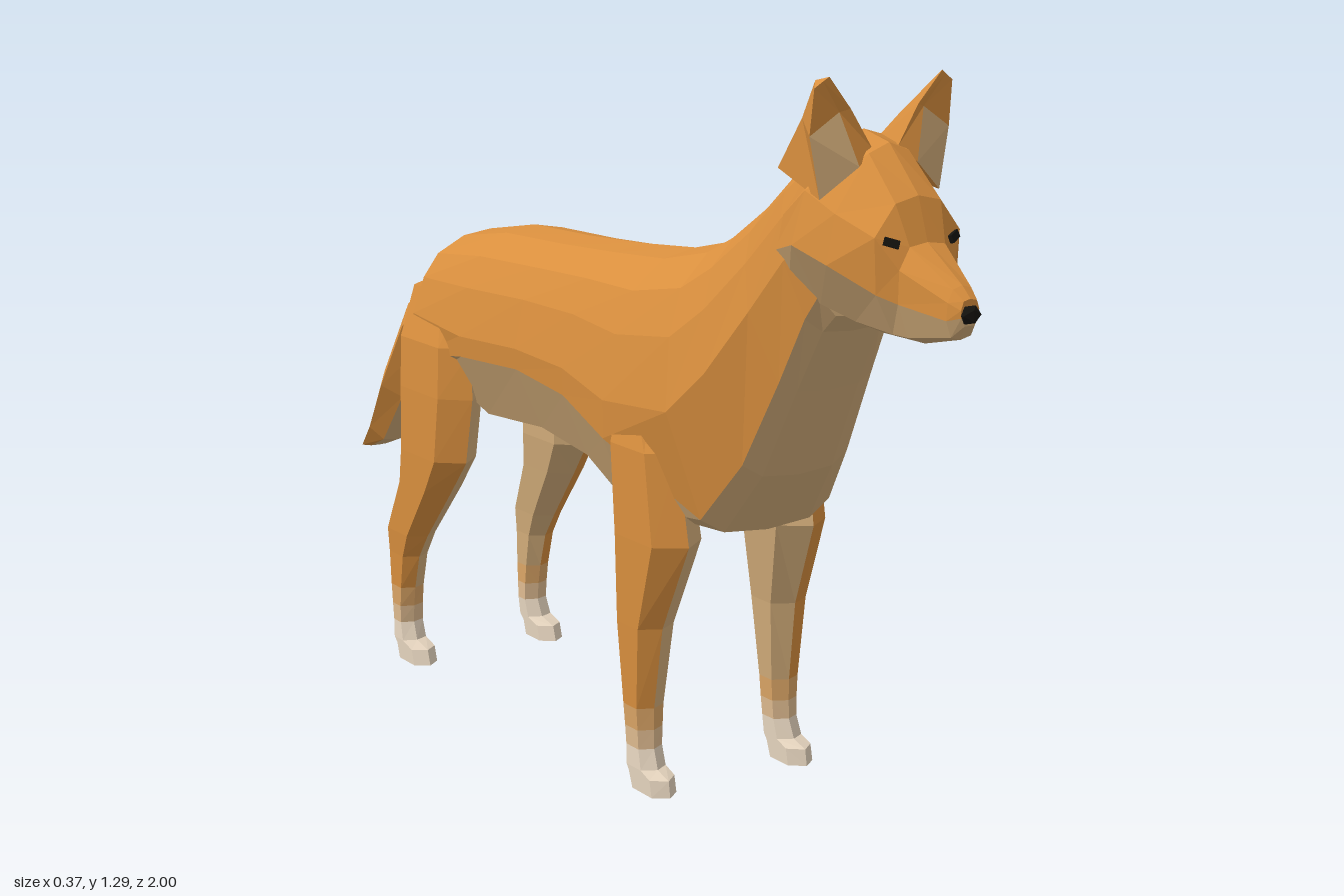
import * as THREE from 'three';

const mat = (name, color) => Object.assign(new THREE.MeshStandardMaterial({ color }), { name });

// Flat-faced skin through rings of points; pick(ring, column) gives a material index.
// The caps are asked for as ring -1 and ring "last".
function loft(name, rings, mats, pick) {
  const n = rings[0].length, last = rings.length - 1;
  const buckets = mats.map(() => []);
  const add = (m, a, b, c) => buckets[m].push([a, b, c]);
  for (let i = 0; i < last; i++) {
    for (let j = 0; j < n; j++) {
      const k = (j + 1) % n, m = pick(i, j);
      add(m, rings[i][j], rings[i][k], rings[i + 1][k]);
      add(m, rings[i][j], rings[i + 1][k], rings[i + 1][j]);
    }
  }
  for (const [ring, id, flip] of [[rings[0], -1, true], [rings[last], last, false]]) {
    const mid = [0, 1, 2].map(c => ring.reduce((s, p) => s + p[c], 0) / n);
    for (let j = 0; j < n; j++) {
      const a = ring[j], b = ring[(j + 1) % n];
      if (flip) add(pick(id, j), mid, b, a); else add(pick(id, j), mid, a, b);
    }
  }
  // Turn the skin outwards if its signed volume is negative
  const V = p => new THREE.Vector3(...p);
  const volume = buckets.flat().reduce((s, [a, b, c]) => s + V(a).dot(V(b).cross(V(c))), 0);
  const geo = new THREE.BufferGeometry(), pos = [];
  buckets.forEach((tris, m) => {
    const start = pos.length / 3;
    for (const [a, b, c] of tris) pos.push(...a, ...(volume < 0 ? c : b), ...(volume < 0 ? b : c));
    if (tris.length) geo.addGroup(start, tris.length * 3, m);
  });
  geo.setAttribute('position', new THREE.Float32BufferAttribute(pos, 3));
  geo.computeVertexNormals();
  const mesh = new THREE.Mesh(geo, mats);
  mesh.name = name;
  return mesh;
}

// Closes a half section (first and last points on x = 0) into a full ring
const mirrorRing = half => [...half, ...half.slice(1, -1).reverse().map(([x, y, z]) => [-x, y, z])];

export function createModel() {
  const fox = new THREE.Group();
  fox.name = 'fox';
  const orange = mat('orange fur', 0xd98f3e), cream = mat('cream fur', 0xd3ad7a), sand = mat('sandy fur', 0xdba566);
  const paleSand = mat('pale sandy fur', 0xdfbb90), pale = mat('pale paw', 0xe4d3bd), black = mat('black', 0x15130f);
  const mats = [orange, cream, sand, paleSand, pale];

  // Torso and neck: top z, top y, bottom z, bottom y, half width, belly line depth and width
  const torso = [
    [-0.555, 0.83, -0.55, 0.64, 0.10, 0.85, 0.8],
    [-0.47, 0.885, -0.50, 0.60, 0.168, 0.85, 0.9],
    [-0.30, 0.915, -0.29, 0.55, 0.174, 0.66, 0.98],
    [-0.10, 0.92, -0.10, 0.56, 0.165, 0.66, 0.98],
    [0.08, 0.93, 0.06, 0.54, 0.166, 0.68, 0.98],
    [0.25, 0.945, 0.22, 0.48, 0.184, 0.70, 0.98],
    [0.38, 0.975, 0.475, 0.485, 0.184, 0.93, 0.74],
    [0.44, 1.005, 0.56, 0.60, 0.157, 0.93, 0.70],
    [0.52, 1.06, 0.64, 0.76, 0.126, 0.93, 0.76],
    [0.60, 1.13, 0.70, 0.87, 0.108, 0.90, 0.82],
    [0.67, 1.18, 0.73, 0.90, 0.10, 0.86, 0.85],
  ].map(([zt, yt, zb, yb, w, b, bw]) => mirrorRing(
    [[0, 0], [0.03, 0.36], [0.14, 0.70], [0.3, 0.88], [0.55, 1], [b, bw], [0.985, bw * 0.66], [1, 0]]
      .map(([t, x]) => [x * w, yt + (yb - yt) * t, zt + (zb - zt) * t])));
  fox.add(loft('body', torso, mats, (i, j) => (i === -1 || (j >= 5 && j <= 8) ? 1 : 0)));

  // Head: rings from nape to muzzle
  const head = [
    [0.62, [0, 1.14], [0.05, 1.12], [0.09, 1.05], [0.10, 1.00], [0.07, 0.93], [0, 0.92]],
    [0.72, [0, 1.20], [0.035, 1.19], [0.115, 1.11], [0.14, 1.025], [0.08, 0.925], [0, 0.885]],
    [0.785, [0, 1.185], [0.04, 1.17], [0.105, 1.08], [0.12, 1.00], [0.06, 0.905], [0, 0.88]],
    [0.86, [0, 1.11], [0.045, 1.10], [0.085, 1.05], [0.08, 0.96], [0.045, 0.895], [0, 0.88]],
    [0.885, [0, 1.04], [0.035, 1.035], [0.055, 1.00], [0.056, 0.947], [0.036, 0.893], [0, 0.88]],
    [0.97, [0, 0.985], [0.018, 0.98], [0.028, 0.96], [0.03, 0.932], [0.02, 0.905], [0, 0.90]],
    [0.99, [0, 0.967], [0.013, 0.964], [0.018, 0.95], [0.017, 0.938], [0.01, 0.925], [0, 0.925]],
  ].map(([z, ...half]) => mirrorRing(half.map(([x, y]) => [x, y, z])));
  fox.add(loft('head', head, mats, (i, j) => (j >= 3 && j <= 6 ? 1 : 0)));

  const nose = new THREE.Mesh(new THREE.IcosahedronGeometry(1, 0), black);
  nose.name = 'nose';
  nose.scale.set(0.021, 0.017, 0.013);
  nose.position.set(0, 0.942, 0.989);
  fox.add(nose);

  // Tail: top z, top y, bottom z, bottom y, half width
  const tail = [
    [-0.49, 0.86, -0.49, 0.80, 0.032],
    [-0.60, 0.83, -0.56, 0.765, 0.042],
    [-0.75, 0.71, -0.68, 0.61, 0.075],
    [-0.87, 0.54, -0.78, 0.485, 0.070],
    [-0.94, 0.435, -0.89, 0.37, 0.052],
    [-1.00, 0.345, -0.97, 0.342, 0.034],
  ].map(([zt, yt, zb, yb, w]) => mirrorRing(
    [[0, 0], [0.15, 0.6], [0.55, 1], [0.95, 0.55], [1, 0]]
      .map(([t, x]) => [x * w, yt + (yb - yt) * t, zt + (zb - zt) * t])));
  fox.add(loft('tail', tail, mats, (i, j) => (i >= 2 && (j === 3 || j === 4) ? 1 : 0)));

  // Legs: height, inner x, outer x, back z, front z
  const frontLeg = [
    [0.72, 0.10, 0.160, 0.25, 0.31],
    [0.62, 0.09, 0.184, 0.235, 0.40],
    [0.46, 0.08, 0.186, 0.25, 0.43],
    [0.30, 0.105, 0.182, 0.263, 0.365],
    [0.15, 0.118, 0.176, 0.28, 0.345],
    [0.11, 0.12, 0.174, 0.283, 0.345],
    [0.075, 0.122, 0.173, 0.286, 0.346],
    [0.04, 0.122, 0.176, 0.29, 0.36],
    [0.03, 0.122, 0.176, 0.292, 0.395],
    [0, 0.122, 0.176, 0.305, 0.40],
  ];
  const hindLeg = [
    [0.78, 0.09, 0.150, -0.54, -0.37],
    [0.68, 0.085, 0.182, -0.55, -0.315],
    [0.58, 0.085, 0.187, -0.545, -0.312],
    [0.45, 0.09, 0.187, -0.545, -0.335],
    [0.38, 0.10, 0.185, -0.55, -0.39],
    [0.27, 0.115, 0.182, -0.605, -0.48],
    [0.22, 0.12, 0.178, -0.60, -0.515],
    [0.15, 0.122, 0.175, -0.597, -0.535],
    [0.11, 0.122, 0.174, -0.593, -0.542],
    [0.075, 0.122, 0.173, -0.59, -0.545],
    [0.04, 0.122, 0.176, -0.585, -0.53],
    [0.03, 0.122, 0.176, -0.58, -0.485],
    [0, 0.122, 0.176, -0.57, -0.475],
  ];
  const addLeg = (name, rows, side) => {
    const rings = rows.map(([y, xi, xo, zb, zf]) => {
      const xm = (xi + xo) / 2;
      return [[xm, 1], [xo, 0.8], [xo, 0.15], [xm, 0], [xi, 0.2], [xi, 0.78]]
        .map(([x, t]) => [x * side, y, zb + (zf - zb) * t]);
    });
    // The last rows fade from sandy to pale
    const fade = rows.length - 6;
    fox.add(loft(name, rings, mats, (i, j) => (i >= fade ? Math.min(i - fade + 2, 4) : j >= 3 ? 1 : 0)));
  };

  for (const [label, s] of [['left', 1], ['right', -1]]) {
    addLeg(label + 'FrontLeg', frontLeg, s);
    addLeg(label + 'HindLeg', hindLeg, s);

    // Ear: inner edge, hollow, outer edge, back
    const ear = [
      [[0.025, 1.175, 0.775], [0.058, 1.15, 0.785], [0.120, 1.10, 0.765], [0.08, 1.13, 0.60]],
      [[0.067, 1.24, 0.772], [0.084, 1.235, 0.765], [0.139, 1.20, 0.762], [0.10, 1.22, 0.69]],
      [[0.112, 1.292, 0.775], [0.122, 1.285, 0.772], [0.137, 1.275, 0.77], [0.124, 1.286, 0.755]],
    ].map(r => r.map(([x, y, z]) => [x * s, y, z]));
    fox.add(loft(label + 'Ear', ear, mats, (i, j) => (i === 0 && j === 1 ? 1 : 0)));

    // Eye plate lying on the face, slanted down to the nose
    const eye = new THREE.Mesh(new THREE.BoxGeometry(0.025, 0.013, 0.008), black);
    eye.name = label + 'Eye';
    eye.position.set(0.062 * s, 1.042, 0.873);
    eye.lookAt(0.062 * s + 0.36 * s, 1.042 + 0.29, 0.873 + 0.89);
    eye.rotateZ(0.3 * s);
    fox.add(eye);
  }
  return fox;
}
